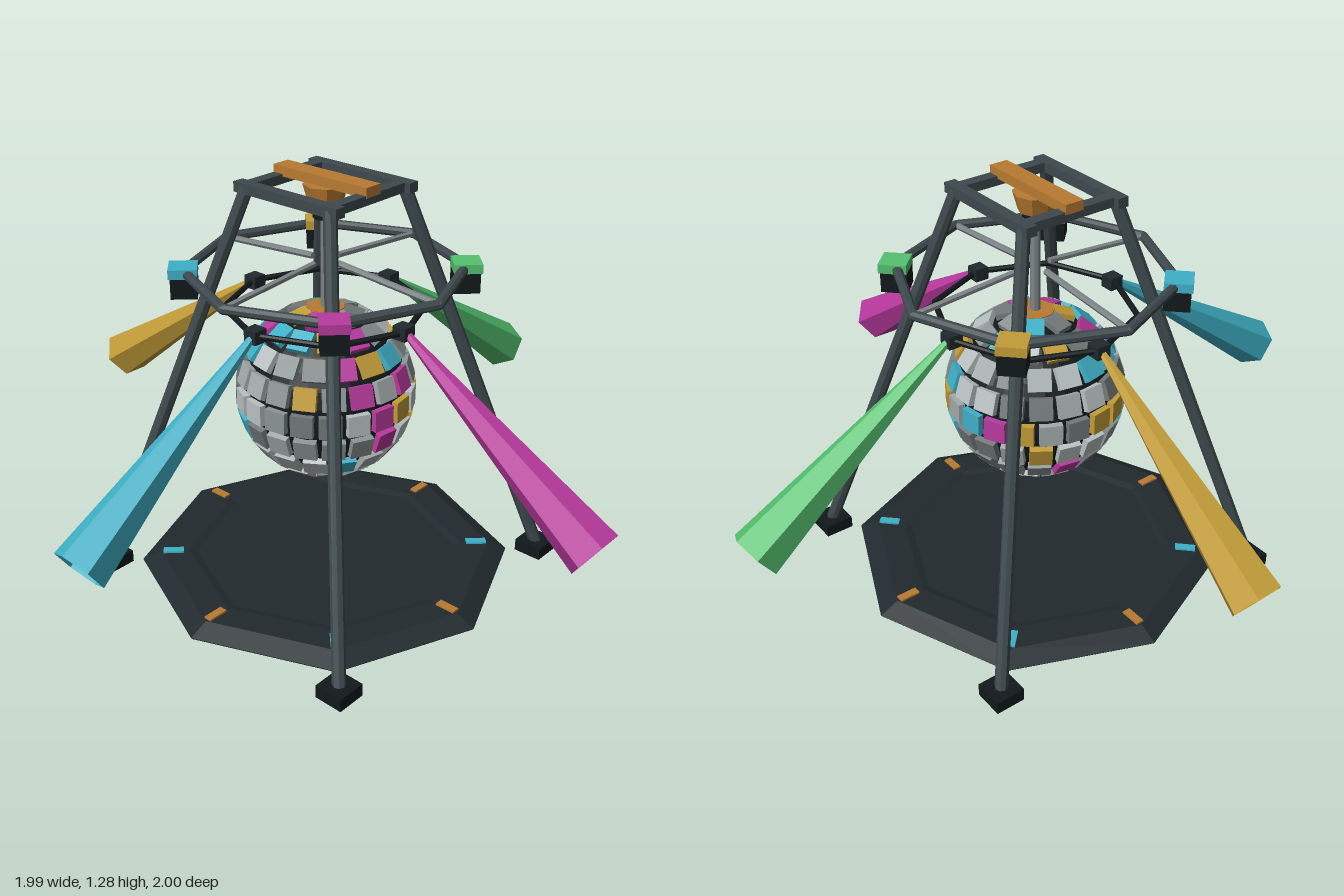
import * as THREE from 'three';

const V = (x, y, z) => new THREE.Vector3(x, y, z);
const UP = V(0, 1, 0);
const mats = {};
const mat = (color) => (mats[color] ??= new THREE.MeshStandardMaterial({ color, flatShading: true, side: THREE.DoubleSide }));

const STEEL = 0x3e494d, DARK = 0x20292d, BLACK = 0x12181b, CHROME = 0x7d8487, ORANGE = 0xb87a32;
const CYAN = 0x3fb0c6, MAGENTA = 0xb93a9e, YELLOW = 0xc29c38, GREEN = 0x55c170;

export function createModel() {
  const root = new THREE.Group();

  const add = (name, geometry, color, position, parent = root) => {
    const m = new THREE.Mesh(geometry, mat(color));
    m.name = name;
    if (position) m.position.copy(position);
    parent.add(m);
    return m;
  };
  const box = (name, w, h, d, color, p, parent) => add(name, new THREE.BoxGeometry(w, h, d), color, p, parent);
  // Straight rod or cone between two points
  const rod = (name, a, b, ra, color, rb = ra, sides = 8, open = false, parent = root) => {
    const g = new THREE.CylinderGeometry(rb, ra, a.distanceTo(b), sides, 1, open);
    const m = add(name, g, color, a.clone().lerp(b, 0.5), parent);
    m.quaternion.setFromUnitVectors(UP, b.clone().sub(a).normalize());
    return m;
  };
  const polar = (r, angle, y) => V(r * Math.sin(angle), y, r * Math.cos(angle));
  // Octagonal ring of rods with corners on the axes
  const octagonRing = (name, r, y, thick, color) => {
    const ring = new THREE.Group();
    ring.name = name;
    root.add(ring);
    for (let i = 0; i < 8; i++) {
      const a = polar(r, i * Math.PI / 4, y), b = polar(r, (i + 1) * Math.PI / 4, y);
      rod(name + 'Segment', a, b, thick, color, thick, 8, false, ring);
      add(name + 'Joint', new THREE.IcosahedronGeometry(thick, 1), color, a, ring);
    }
  };

  // Octagonal dance floor with bevelled rim and sunken centre
  const profile = [[0.59, 0.006], [0.53, 0.034], [0.44, 0.034], [0.415, 0.027], [0, 0.027]];
  add('floor', new THREE.LatheGeometry(profile.map((p) => new THREE.Vector2(...p)), 8), DARK);
  add('floorUnderside', new THREE.CylinderGeometry(0.59, 0.585, 0.006, 8), BLACK, V(0, 0.003, 0));
  for (let i = 0; i < 8; i++) {
    const accent = box('floorAccent', 0.026, 0.008, 0.065, i % 2 ? CYAN : ORANGE, polar(0.49, i * Math.PI / 4, 0.036));
    accent.rotation.y = i * Math.PI / 4;
  }

  // Legs and feet
  for (const sx of [-1, 1]) for (const sz of [-1, 1]) {
    rod('leg', V(sx * 0.487, 0.025, sz * 0.487), V(sx * 0.157, 1.24, sz * 0.157), 0.02, STEEL);
    box('foot', 0.092, 0.04, 0.092, BLACK, V(sx * 0.485, 0.02, sz * 0.485));
  }

  // Top frame and cross beam
  for (const s of [-1, 1]) {
    box('topFrameBar', 0.385, 0.03, 0.036, STEEL, V(0, 1.241, s * 0.156));
    box('topFrameSide', 0.036, 0.028, 0.3, STEEL, V(s * 0.156, 1.241, 0));
  }
  box('crossBeam', 0.35, 0.03, 0.06, ORANGE, V(0, 1.263, 0));

  // Motor and hanging shaft
  add('motorHub', new THREE.CylinderGeometry(0.066, 0.05, 0.055, 8), ORANGE, V(0, 1.222, 0));
  add('motorBlock', new THREE.CylinderGeometry(0.037, 0.037, 0.046, 8), BLACK, V(0, 1.173, 0));
  rod('shaft', V(0, 0.86, 0), V(0, 1.17, 0), 0.015, CHROME);

  // Upper lighting ring with spokes, lower ring for the beams
  octagonRing('upperRing', 0.412, 0.995, 0.015, STEEL);
  octagonRing('lowerRing', 0.3, 0.88, 0.009, BLACK);

  const beamColors = [CYAN, MAGENTA, GREEN, YELLOW];
  const lampColors = [MAGENTA, GREEN, YELLOW, CYAN];
  for (let i = 0; i < 4; i++) {
    const a = i * Math.PI / 2, d = a + Math.PI / 4;
    rod('spoke', polar(0.41, a, 0.995), polar(0.05, a, 1.022), 0.01, CHROME, 0.01, 6);

    // Spotlight head and its hollow light beam
    box('spotlight', 0.045, 0.04, 0.045, DARK, polar(0.293, a, 0.88)).rotation.y = a;
    rod('lightBeam', polar(0.3, a, 0.88), polar(0.953, a, 0.433), 0.01, beamColors[i], 0.081, 6, true);

    // Coloured lamp on its dark housing
    box('lampHousing', 0.078, 0.06, 0.078, BLACK, polar(0.41, d, 0.952)).rotation.y = d;
    box('lamp', 0.084, 0.028, 0.084, lampColors[i], polar(0.412, d, 0.998)).rotation.y = d;
  }

  // Mirror ball: dark core covered with rows of tiles
  const ball = new THREE.Group();
  ball.name = 'mirrorBall';
  ball.position.y = 0.61;
  root.add(ball);
  add('ballCore', new THREE.SphereGeometry(0.257, 24, 16), BLACK, null, ball);
  for (const s of [-1, 1]) {
    add('ballCap', new THREE.CylinderGeometry(0.058, 0.058, 0.022, 10), ORANGE, V(0, s * 0.259, 0), ball);
  }

  let seed = 7;
  const rand = () => (seed = (seed * 16807) % 2147483647) / 2147483647;
  const greys = [0x73797a, 0x8b9394, 0xa3abac, 0xb9c1c2];
  const vivid = [CYAN, MAGENTA, YELLOW];
  const counts = [20, 19, 16, 12, 7];
  for (let row = -4; row <= 4; row++) {
    const lat = row * Math.PI / 10, n = counts[Math.abs(row)];
    const width = Math.min(0.07, 2 * Math.PI * 0.262 * Math.cos(lat) / n - 0.015);
    const tile = new THREE.BoxGeometry(width, 0.066, 0.022);
    for (let k = 0; k < n; k++) {
      const lon = (k + 0.5) * 2 * Math.PI / n;
      const palette = rand() < 0.36 ? vivid : greys;
      const color = palette[Math.floor(rand() * palette.length)];
      const p = polar(0.26 * Math.cos(lat), lon, 0.26 * Math.sin(lat));
      const m = add('mirrorTile', tile, color, p, ball);
      m.rotation.set(-lat, lon, 0, 'YXZ');
    }
  }

  return root;
}
